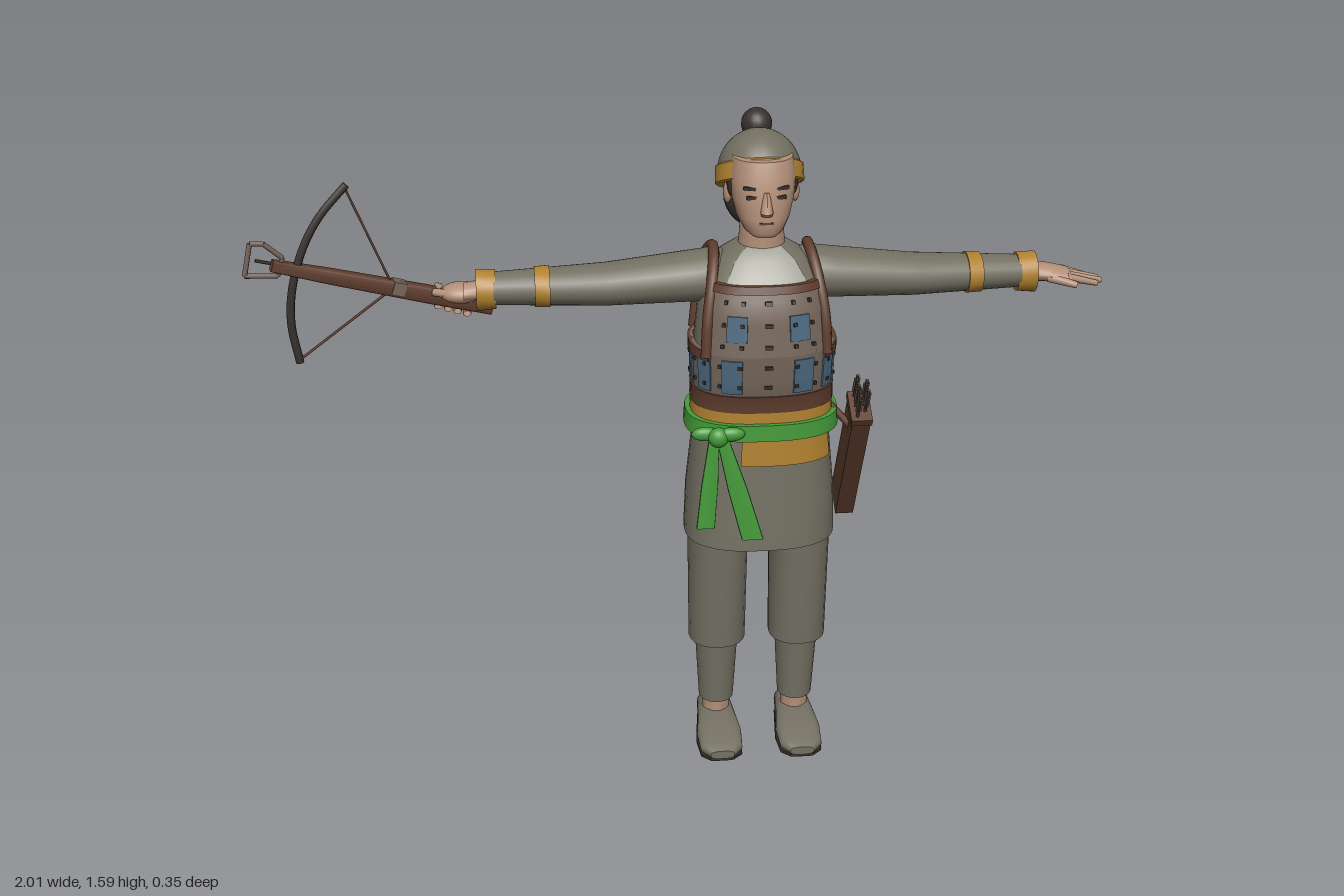
import * as THREE from 'three';
import { toCreasedNormals, mergeGeometries } from 'three/addons/utils/BufferGeometryUtils.js';

const paint = (name, color) => new THREE.MeshStandardMaterial({ name, color, side: THREE.DoubleSide });
const V = (x, y, z) => new THREE.Vector3(x, y, z);
const CX = 0.175, D = Math.PI / 180;

// Surface from a rule fn(i, j) on an nu x nv grid
function grid(nu, nv, fn, flip = false) {
  const pos = [], idx = [];
  for (let j = 0; j <= nv; j++) for (let i = 0; i <= nu; i++) pos.push(...fn(i, j));
  for (let j = 0; j < nv; j++) for (let i = 0; i < nu; i++) {
    const a = j * (nu + 1) + i, b = a + 1, c = a + nu + 1, d = c + 1;
    idx.push(...(flip ? [a, d, b, a, c, d] : [a, b, d, a, d, c]));
  }
  const g = new THREE.BufferGeometry();
  g.setAttribute('position', new THREE.Float32BufferAttribute(pos, 3));
  g.setIndex(idx);
  return toCreasedNormals(g, 0.7);
}

// Joins pieces of different kinds into one geometry
const join = parts => mergeGeometries(parts.map(p => {
  const g = p.index ? p.toNonIndexed() : p;
  return g.deleteAttribute('uv');
}));

const spow = (v, e) => Math.sign(v) * Math.pow(Math.abs(v), e);

// Capped loft along an axis; each section is [t, centre1, centre2, radius1, radius2]
function loft(axis, secs, n = 24, e = 1) {
  const up = secs[secs.length - 1][0] > secs[0][0];
  return grid(n, secs.length + 1, (i, j) => {
    const k = Math.min(Math.max(j - 1, 0), secs.length - 1);
    const [t, c1, c2, r1, r2] = secs[k], cap = j === 0 || j === secs.length + 1 ? 0 : 1;
    const a = (i % n) / n * 2 * Math.PI;
    const p = c1 + cap * r1 * spow(Math.sin(a), e), q = c2 + cap * r2 * spow(Math.cos(a), e);
    return axis === 'y' ? [p, t, q] : axis === 'x' ? [t, p, q] : [p, q, t];
  }, (axis !== 'y') === up);
}

// Torso cross-sections: y, centre x, centre z, half width, half depth
const TORSO = [
  [0.58, CX, 0.007, 0.182, 0.14], [0.70, CX, 0.01, 0.178, 0.13], [0.86, CX, 0.015, 0.162, 0.112],
  [0.95, CX, 0.015, 0.156, 0.108], [1.0, CX, 0.017, 0.158, 0.118], [1.08, CX, 0.018, 0.16, 0.124],
  [1.18, CX, 0.008, 0.148, 0.12], [1.24, CX, 0, 0.132, 0.104], [1.28, CX, -0.014, 0.1, 0.078],
  [1.305, CX, -0.018, 0.058, 0.052],
];
const TORSO_E = 0.8;
function torsoPoint(y, a, off) {
  let k = 0;
  while (k < TORSO.length - 2 && y > TORSO[k + 1][0]) k++;
  const A = TORSO[k], B = TORSO[k + 1], f = (y - A[0]) / (B[0] - A[0]);
  const [, cx, cz, rx, rz] = A.map((v, i) => v + (B[i] - v) * f);
  return [cx + (rx + off) * spow(Math.sin(a), TORSO_E), y, cz + (rz + off) * spow(Math.cos(a), TORSO_E)];
}

// Raised plate following the torso, angles in degrees from the front toward +x
function panel(y0, y1, a0, a1, off) {
  const nu = Math.max(1, Math.ceil((a1 - a0) / 9)) + 2, nv = Math.max(1, Math.ceil((y1 - y0) / 0.025)) + 2;
  const cl = THREE.MathUtils.clamp, full = a1 - a0 >= 360;
  return grid(nu, nv, (i, j) => {
    const u = cl((i - 1) / (nu - 2), 0, 1), v = cl((j - 1) / (nv - 2), 0, 1);
    const rim = j === 0 || j === nv || (!full && (i === 0 || i === nu));
    return torsoPoint(y0 + (y1 - y0) * v, (a0 + (a1 - a0) * u) * D, rim ? -0.002 : off);
  });
}

function rod(a, b, r0, r1 = r0, n = 8) {
  const d = b.clone().sub(a), g = new THREE.CylinderGeometry(r1, r0, d.length(), n);
  g.applyQuaternion(new THREE.Quaternion().setFromUnitVectors(V(0, 1, 0), d.normalize()));
  return g.translate(...a.clone().add(b).multiplyScalar(0.5).toArray());
}
const ball = (x, y, z, rx, ry, rz) => new THREE.SphereGeometry(1, 20, 14).scale(rx, ry, rz).translate(x, y, z);
const box = (w, h, d, x, y, z) => new THREE.BoxGeometry(w, h, d).translate(x, y, z);
const tube = (pts, r, n = 24) => new THREE.TubeGeometry(new THREE.CatmullRomCurve3(pts), n, r, 8);

export function createModel() {
  const cloth = paint('grey cloth', 0x737062), skin = paint('skin', 0xb38f78), brown = paint('brown leather', 0x5f3d2e);
  const gold = paint('gold cloth', 0xb0812f), green = paint('green sash', 0x459a3a), blue = paint('blue plate', 0x4d6980);
  const taupe = paint('taupe armour', 0x75665b), dark = paint('dark hair', 0x38322f), pale = paint('pale linen', 0xa6a59b);
  const model = new THREE.Group();
  const add = (name, geo, mat, parent = model) => {
    const m = new THREE.Mesh(Array.isArray(geo) ? join(geo) : geo, mat);
    m.name = name;
    parent.add(m);
  };

  // Tunic, collar and neck
  add('tunic', loft('y', TORSO, 40, TORSO_E), cloth);
  add('collar', panel(1.235, 1.305, -38, 38, 0.004), pale);
  add('neck', loft('y', [[1.27, CX, -0.015, 0.056, 0.055], [1.37, CX, -0.015, 0.05, 0.052]]), skin);

  // Armour
  add('lowerCuirass', panel(0.97, 1.085, 0, 360, 0.008), taupe);
  add('chestPlate', panel(1.08, 1.23, -52, 52, 0.008), taupe);
  add('backPlate', panel(1.08, 1.22, 130, 230, 0.008), taupe);
  const plates = [], rivets = [];
  for (const a of [-152, -120, -88, -56, -25, 25, 56, 88, 120, 152, 180]) plates.push(panel(0.985, 1.07, a - 9, a + 9, 0.011));
  for (const a of [-22, 22]) plates.push(panel(1.115, 1.175, a - 9, a + 9, 0.011));
  for (const a of [145, 180, 215]) plates.push(panel(1.1, 1.17, a - 13, a + 13, 0.011));
  add('bluePlates', plates, blue);
  for (const y of [1.0, 1.05]) for (let a = 0; a < 360; a += 18) rivets.push(panel(y, y + 0.008, a - 1.5, a + 1.5, 0.014));
  for (const y of [1.1, 1.15, 1.2]) for (let k = -2; k <= 2; k++) for (const c of [0, 180])
    rivets.push(panel(y, y + 0.008, c + k * 17 - 1.5, c + k * 17 + 1.5, 0.014));
  add('rivets', rivets, dark);
  add('chestTrim', [panel(1.222, 1.24, -52, 52, 0.012), panel(1.215, 1.235, 130, 230, 0.012)], brown);
  add('armholeTrim', [panel(1.062, 1.085, 48, 132, 0.014), panel(1.062, 1.085, 228, 312, 0.014)], brown);
  for (const s of [1, -1]) add('shoulderStrap', tube([[0.14, 1.07, 0.108], [0.135, 1.16, 0.095], [0.122, 1.24, 0.06], [0.112, 1.287, 0.0],
    [0.112, 1.287, -0.05], [0.13, 1.23, -0.098], [0.15, 1.07, -0.09]].map(p => V(CX + s * p[0], p[1], p[2])), 0.013, 32), brown);

  // Waist wraps and sash
  add('leatherBelt', panel(0.935, 0.978, 0, 360, 0.012), brown);
  add('waistWrap', panel(0.865, 0.938, 0, 360, 0.01), gold);
  add('waistFlaps', [panel(0.8, 0.868, -15, 60, 0.008), panel(0.81, 0.868, 130, 230, 0.008)], gold);
  add('sash', panel(0.868, 0.908, 0, 360, 0.022), green);
  add('sashKnot', [ball(0.06, 0.885, 0.15, 0.024, 0.024, 0.02), ball(0.03, 0.89, 0.138, 0.032, 0.017, 0.014),
    ball(0.09, 0.892, 0.15, 0.032, 0.017, 0.014)], green);
  for (const [x0, x1, y1, w] of [[0.05, 0.03, 0.655, 0.022], [0.07, 0.142, 0.62, 0.026]])
    add('sashTail', loft('y', [[y1, x1, 0.158, w, 0.006], [(y1 + 0.88) / 2, (x0 + x1) / 2, 0.153, w * 0.9, 0.007],
      [0.88, x0, 0.146, w * 0.55, 0.008]], 12, 0.4), green);

  // Legs and shoes
  for (const s of [1, -1]) {
    const x = CX + s * 0.1;
    add('trouserLeg', loft('y', [[0.28, x, 0.005, 0.07, 0.077], [0.45, x, 0.008, 0.072, 0.085], [0.6, x, 0.01, 0.074, 0.09]], 24, 0.9), cloth);
    add('legWrap', loft('y', [[0.1, x, 0, 0.043, 0.046], [0.29, x, 0, 0.054, 0.06]]), cloth);
    add('ankle', loft('y', [[0.05, x, -0.005, 0.034, 0.038], [0.11, x, -0.005, 0.034, 0.038]]), skin);
    add('shoe', loft('z', [[-0.08, x, 0.028, 0.03, 0.02], [-0.06, x, 0.036, 0.042, 0.03], [0.02, x, 0.037, 0.048, 0.032],
      [0.08, x, 0.03, 0.056, 0.024], [0.14, x, 0.024, 0.052, 0.018], [0.165, x, 0.02, 0.03, 0.011]], 24, 0.7), cloth);
    add('sole', loft('z', [[-0.078, x, 0.005, 0.03, 0.005], [-0.05, x, 0.005, 0.043, 0.005], [0.08, x, 0.005, 0.057, 0.005],
      [0.14, x, 0.005, 0.052, 0.005], [0.16, x, 0.005, 0.03, 0.005]], 16, 0.4), dark);
  }

  // Arms
  for (const s of [1, -1]) {
    const arm = secs => loft('x', secs.map(([t, ...r]) => [CX + s * t, ...r]));
    add('sleeve', arm([[0.05, 1.225, -0.02, 0.055, 0.06], [0.11, 1.227, -0.02, 0.062, 0.072], [0.17, 1.223, -0.02, 0.058, 0.073],
      [0.36, 1.205, -0.034, 0.049, 0.062], [0.62, 1.195, -0.055, 0.038, 0.046]]), cloth);
    add('sleeveBand', arm([[0.49, 1.2, -0.0445, 0.048, 0.058], [0.525, 1.1985, -0.0475, 0.046, 0.0555]]), gold);
    add('cuff', arm([[0.615, 1.192, -0.058, 0.046, 0.047], [0.66, 1.19, -0.06, 0.049, 0.049]]), gold);
    add('wrist', arm([[0.65, 1.19, -0.062, 0.022, 0.03], [0.69, 1.186, -0.062, 0.02, 0.032]]), skin);
  }

  // Open left hand and gripping right hand
  const open = [loft('x', [[0.83, 1.19, -0.062, 0.021, 0.028], [0.87, 1.187, -0.062, 0.02, 0.04], [0.92, 1.18, -0.064, 0.013, 0.04]], 16)];
  [0.97, 0.995, 1.0, 0.985].forEach((x, k) => {
    const z = -0.094 + k * 0.02;
    open.push(rod(V(0.91, 1.181, z), V(x, 1.163, z - 0.002), 0.0105, 0.007));
  });
  open.push(rod(V(0.865, 1.183, -0.035), V(0.93, 1.168, -0.014), 0.012, 0.008));
  add('leftHand', open, skin);
  const grip = [ball(-0.52, 1.18, -0.075, 0.05, 0.024, 0.04)];
  for (let k = 0; k < 4; k++) {
    const x = -0.575 + k * 0.022, y = 1.163 - k * 0.007;
    grip.push(tube([V(x + 0.01, y + 0.022, -0.07), V(x, y + 0.018, -0.115), V(x, y - 0.012, -0.125), V(x, y - 0.026, -0.1)], 0.01, 10));
  }
  grip.push(rod(V(-0.51, 1.18, -0.05), V(-0.585, 1.185, -0.07), 0.013, 0.009));
  add('rightHand', grip, skin);

  // Head and face
  add('head', loft('y', [[1.338, CX, 0.03, 0.03, 0.032], [1.35, CX, 0.012, 0.046, 0.058], [1.38, CX, -0.005, 0.062, 0.074],
    [1.42, CX, -0.016, 0.072, 0.083], [1.47, CX, -0.025, 0.077, 0.084], [1.51, CX, -0.03, 0.07, 0.075]], 32, 0.85), skin);
  add('nose', loft('y', [[1.392, CX, 0.066, 0.013, 0.012], [1.4, CX, 0.068, 0.015, 0.018], [1.445, CX, 0.058, 0.007, 0.009]], 10), skin);
  add('ears', [-1, 1].map(s => ball(CX + s * 0.078, 1.42, -0.03, 0.01, 0.026, 0.016)), skin);
  add('hair', ball(CX, 1.405, -0.078, 0.083, 0.09, 0.052), dark);
  add('sideburns', [-1, 1].map(s => ball(CX + s * 0.07, 1.45, -0.015, 0.012, 0.035, 0.018)), dark);
  add('eyes', [-1, 1].map(s => box(0.026, 0.008, 0.008, CX + s * 0.032, 1.433, 0.058)), dark);
  add('eyebrows', [-1, 1].map(s => new THREE.BoxGeometry(0.036, 0.007, 0.008).rotateZ(s * 0.12).translate(CX + s * 0.034, 1.453, 0.055)), dark);
  add('mouth', box(0.032, 0.005, 0.008, CX, 1.374, 0.066), brown);

  // Tilted cap with topknot
  const cap = new THREE.Group();
  cap.name = 'cap';
  cap.position.set(CX, 1.45, -0.07);
  cap.rotation.x = -0.43;
  model.add(cap);
  add('capDome', new THREE.SphereGeometry(1, 28, 12, 0, Math.PI * 2, 0, Math.PI / 2).scale(0.098, 0.104, 0.108), cloth, cap);
  add('capBand', loft('y', [[-0.024, 0, 0, 0.098, 0.107], [-0.02, 0, 0, 0.103, 0.113], [0.018, 0, 0, 0.102, 0.112], [0.022, 0, 0, 0.097, 0.107]], 32), gold, cap);
  add('topknot', ball(CX, 1.55, -0.13, 0.036, 0.037, 0.038), dark);

  // Quiver with arrows
  const quiver = new THREE.Group();
  quiver.name = 'quiver';
  quiver.position.set(0.4, 0.755, -0.002);
  quiver.rotation.x = 0.51;
  model.add(quiver);
  add('quiverCase', box(0.044, 0.39, 0.082, 0, 0, 0), brown, quiver);
  add('quiverRim', box(0.05, 0.02, 0.088, 0, 0.186, 0), brown, quiver);
  const shafts = [], feathers = [];
  for (let k = 0; k < 5; k++) {
    const x = k % 2 ? 0.01 : -0.01, z = -0.03 + k * 0.015;
    shafts.push(rod(V(x, 0.18, z), V(x, 0.275, z), 0.004, 0.004, 6));
    feathers.push(box(0.003, 0.05, 0.014, x, 0.24, z), box(0.014, 0.05, 0.003, x, 0.24, z));
  }
  add('arrowShafts', shafts, brown, quiver);
  add('arrowFeathers', feathers, taupe, quiver);
  add('quiverStrap', rod(V(0.32, 0.93, 0.04), V(0.385, 0.86, 0.06), 0.009), brown);

  // Crossbow: local x runs along the stock, local y along the bow
  const bow = new THREE.Group(), dir = V(-0.5, 0.17, 0.135).normalize();
  bow.name = 'crossbow';
  const up = V(0, 1, 0).addScaledVector(dir, -dir.y).normalize();
  bow.quaternion.setFromRotationMatrix(new THREE.Matrix4().makeBasis(dir, up, dir.clone().cross(up)));
  bow.position.set(-0.45, 1.125, -0.125);
  model.add(bow);
  add('stock', loft('x', [[0, 0, 0, 0.02, 0.014], [0.16, 0, 0, 0.02, 0.016], [0.4, 0, 0, 0.017, 0.015], [0.535, 0, 0, 0.013, 0.012]], 16, 0.3), brown, bow);
  add('bowLimb', tube([[0.415, 0.217], [0.457, 0.13], [0.475, 0.05], [0.475, -0.05], [0.457, -0.13], [0.415, -0.217]].map(([x, y]) => V(x, y, 0)), 0.0095), dark, bow);
  add('bowString', [1, -1].map(s => rod(V(0.418, s * 0.212, 0), V(0.245, 0, 0), 0.003, 0.003, 6)), brown, bow);
  add('triggerNut', box(0.03, 0.03, 0.036, 0.235, 0.004, 0), taupe, bow);
  const loop = [V(0.515, 0.022, 0), V(0.565, 0.046, 0), V(0.595, 0.04, 0), V(0.588, -0.036, 0), V(0.515, -0.022, 0)];
  add('stirrup', loop.map((p, i) => rod(p, loop[(i + 1) % loop.length], 0.006)), taupe, bow);
  add('loadedBolt', rod(V(0.25, 0, 0.017), V(0.57, 0, 0.014), 0.004, 0.004, 6), dark, bow);
  return model;
}
